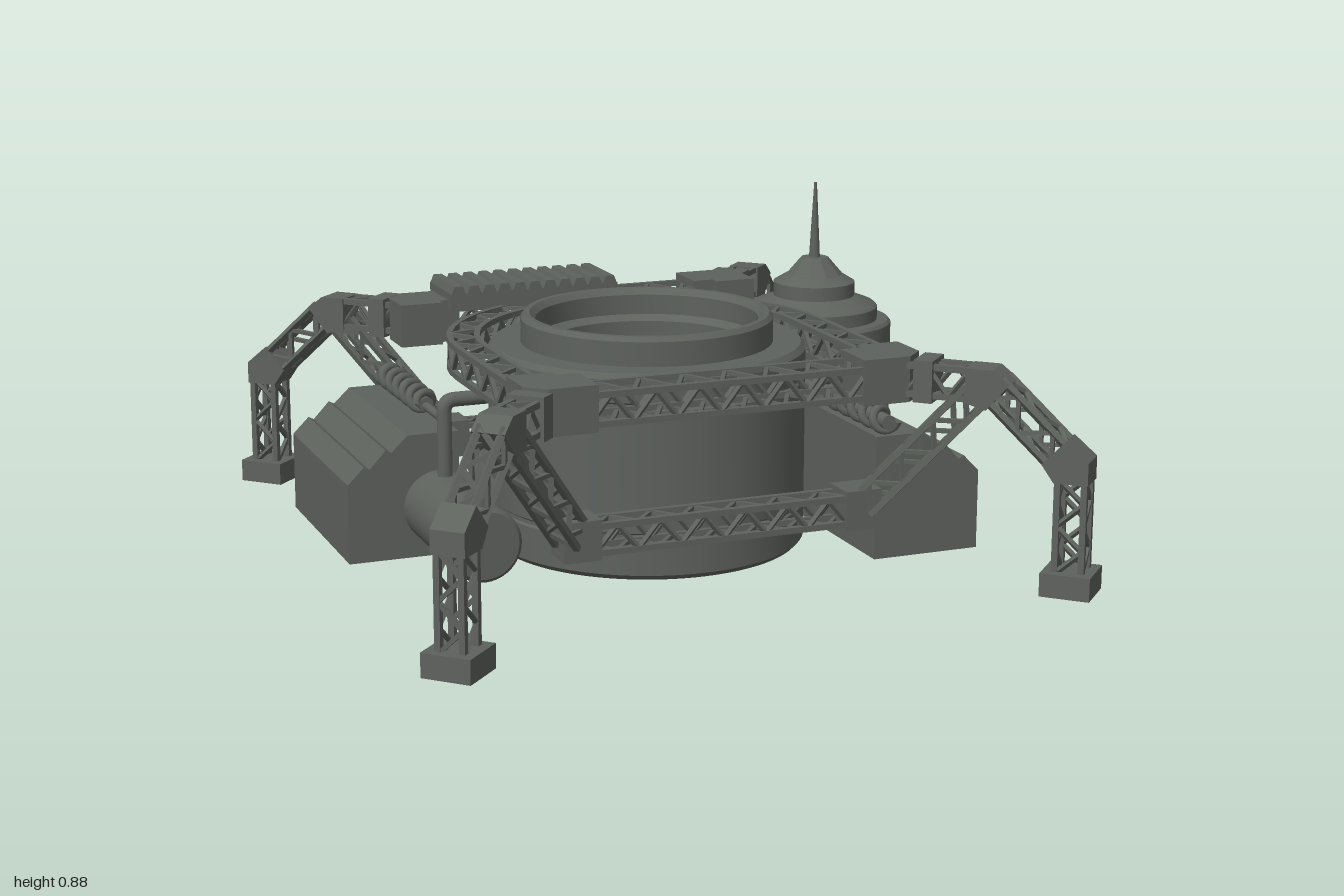
import * as THREE from 'three';
import { mergeGeometries, toCreasedNormals } from 'three/addons/utils/BufferGeometryUtils.js';

const V = (x, y, z) => new THREE.Vector3(x, y, z);
const UP = V(0, 1, 0);
const metal = new THREE.MeshStandardMaterial({ color: 0x5e625d });
metal.name = 'dark grey metal';

function add(parent, name, geo, x = 0, y = 0, z = 0) {
  const m = new THREE.Mesh(geo, metal);
  m.name = name;
  m.position.set(x, y, z);
  parent.add(m);
  return m;
}

const box = (w, h, d) => new THREE.BoxGeometry(w, h, d);

// Square bar between two points
function bar(a, b, t) {
  const d = b.clone().sub(a);
  const g = box(t, t, d.length());
  g.applyQuaternion(new THREE.Quaternion().setFromUnitVectors(V(0, 0, 1), d.normalize()));
  const c = a.clone().add(b).multiplyScalar(0.5);
  return g.translate(c.x, c.y, c.z);
}

// Lattice girder through a list of stations { p, side, up }
function lattice(stations, w, h, chord = 0.016, lace = 0.011) {
  const rings = stations.map(({ p, side, up }) => [[1, 1], [-1, 1], [-1, -1], [1, -1]].map(([s, u]) =>
    p.clone().addScaledVector(side, s * (w - chord) / 2).addScaledVector(up, u * (h - chord) / 2)));
  const bars = [];
  for (let i = 0; i + 1 < rings.length; i++) {
    for (let k = 0; k < 4; k++) {
      const n = (k + 1) % 4;
      bars.push(bar(rings[i][k], rings[i + 1][k], chord));
      const [from, to] = i % 2 ? [n, k] : [k, n];
      bars.push(bar(rings[i][from], rings[i + 1][to], lace));
    }
  }
  return mergeGeometries(bars);
}

// Straight girder
function girder(a, b, w, h, pitch = 0.06) {
  const dir = b.clone().sub(a);
  const n = Math.max(2, Math.round(dir.length() / pitch));
  dir.normalize();
  const side = Math.abs(dir.y) > 0.99 ? V(0, 0, 1) : dir.clone().cross(UP).normalize();
  const up = side.clone().cross(dir);
  const st = [];
  for (let i = 0; i <= n; i++) st.push({ p: a.clone().lerp(b, i / n), side, up });
  return lattice(st, w, h);
}

// Flat polygon extruded along z, centred
function plate(pts, depth) {
  const shape = new THREE.Shape(pts.map(([x, y]) => new THREE.Vector2(x, y)));
  return new THREE.ExtrudeGeometry(shape, { depth, bevelEnabled: false }).translate(0, 0, -depth / 2);
}

const lathe = (pts, seg = 64) =>
  toCreasedNormals(new THREE.LatheGeometry(pts.map(([x, y]) => new THREE.Vector2(x, y)), seg), 0.5);

// Pipe with rounded bends
function pipe(pts, r) {
  const path = new THREE.CurvePath();
  let last = pts[0];
  for (let i = 1; i < pts.length - 1; i++) {
    const p = pts[i];
    const a = p.clone().add(pts[i - 1].clone().sub(p).setLength(0.03));
    const b = p.clone().add(pts[i + 1].clone().sub(p).setLength(0.03));
    path.add(new THREE.LineCurve3(last, a));
    path.add(new THREE.QuadraticBezierCurve3(a, p, b));
    last = b;
  }
  path.add(new THREE.LineCurve3(last, pts[pts.length - 1]));
  return new THREE.TubeGeometry(path, 60, r, 12);
}

class Helix extends THREE.Curve {
  getPoint(t, target = V(0, 0, 0)) {
    const a = t * Math.PI * 2 * 6;
    return target.set(Math.cos(a) * 0.027, Math.sin(a) * 0.027, (t - 0.5) * 0.4);
  }
}

// Corner node, leg, foot and brace for one corner
function corner(root, sx, sz) {
  const g = new THREE.Group();
  g.name = 'cornerLeg';
  root.add(g);
  const outline = [[0.36, 0.63], [0.49, 0.63], [0.54, 0.58], [0.54, 0.46], [0.42, 0.46], [0.42, 0.49], [0.36, 0.49]];
  add(g, 'upperNode', plate(outline.map(([x, z]) => [x * sx, z * sz]), 0.12).rotateX(Math.PI / 2), 0, 0.53, 0);
  add(g, 'lowerNode', box(0.1, 0.105, 0.1), sx * 0.387, 0.182, sz * 0.54);
  add(g, 'brace', girder(V(sx * 0.63, 0.5, sz * 0.725), V(sx * 0.405, 0.19, sz * 0.555), 0.08, 0.08));

  // Local x points diagonally outwards
  const leg = new THREE.Group();
  leg.name = 'leg';
  leg.position.set(sx * 0.455, 0, sz * 0.55);
  leg.rotation.y = Math.atan2(-sz, sx);
  g.add(leg);
  add(leg, 'hipLink', girder(V(0.07, 0.53, 0), V(0.24, 0.53, 0), 0.08, 0.09));
  add(leg, 'linkSleeve', box(0.05, 0.11, 0.1), 0.12, 0.53, 0);
  add(leg, 'hipJoint', plate([[0.23, 0.485], [0.23, 0.575], [0.3, 0.575], [0.345, 0.54], [0.285, 0.47]], 0.09));
  add(leg, 'thigh', girder(V(0.3, 0.525, 0), V(0.48, 0.36, 0), 0.08, 0.085));
  add(leg, 'kneeJoint', plate([[0.435, 0.345], [0.495, 0.41], [0.555, 0.36], [0.555, 0.3], [0.467, 0.3]], 0.09));
  add(leg, 'shin', girder(V(0.51, 0.31, 0), V(0.51, 0.06, 0), 0.08, 0.085));
  add(leg, 'foot', box(0.13, 0.062, 0.13), 0.51, 0.036, 0);
}

// Sloped machinery cabinet with a coil on its inner edge
function cabinet(root, x, z, turn) {
  const g = new THREE.Group();
  g.name = 'cabinet';
  g.position.set(x, 0, z);
  g.rotation.y = turn;
  root.add(g);
  add(g, 'cabinetBody', plate([[0, 0.01], [0.305, 0.01], [0.305, 0.225], [0.26, 0.27], [0.245, 0.262],
    [0.2, 0.31], [0.185, 0.302], [0.14, 0.345], [0, 0.345]], 0.582));
  add(g, 'coil', new THREE.TubeGeometry(new Helix(), 200, 0.012, 8), 0.035, 0.382, 0.085);
  add(g, 'coilCore', new THREE.CylinderGeometry(0.02, 0.02, 0.41, 16).rotateX(Math.PI / 2), 0.035, 0.38, 0.085);
  add(g, 'cabinetPipe', pipe([V(0.035, 0.375, -0.1), V(0.035, 0.375, -0.302), V(0.035, 0.03, -0.302)], 0.012));
}

export function createModel() {
  const root = new THREE.Group();
  root.name = 'landingBase';

  // Central vessel with open, stepped mouth
  add(root, 'vessel', lathe([[0, 0.008], [0.415, 0.008], [0.428, 0.022], [0.428, 0.115], [0.422, 0.12], [0.422, 0.13],
    [0.428, 0.135], [0.428, 0.46], [0.422, 0.465], [0.422, 0.475], [0.428, 0.48], [0.428, 0.54], [0.415, 0.555],
    [0.34, 0.555], [0.34, 0.62], [0.33, 0.632], [0.315, 0.632], [0.3, 0.615], [0.3, 0.56], [0.275, 0.545],
    [0.275, 0.47], [0.26, 0.455], [0, 0.455]], 80), 0, 0, 0.04);

  // Front and back girders, upper and lower
  for (const s of [1, -1]) {
    add(root, 'upperGirder', girder(V(-0.38, 0.525, s * 0.56), V(0.38, 0.525, s * 0.56), 0.13, 0.09));
    add(root, 'lowerGirder', girder(V(-0.35, 0.18, s * 0.54), V(0.35, 0.18, s * 0.54), 0.085, 0.085));
    for (const x of [1, -1]) corner(root, x, s);
  }

  // U-shaped girder: straight sides joined by a half circle behind the vessel
  const st = [];
  const R = 0.485, z0 = 0.01;
  for (let i = 0; i < 7; i++) st.push({ p: V(R, 0.525, 0.47 - (0.46 * i) / 7), side: V(1, 0, 0), up: UP });
  for (let i = 0; i <= 26; i++) {
    const a = (Math.PI * i) / 26;
    const side = V(Math.cos(a), 0, -Math.sin(a));
    st.push({ p: V(R * side.x, 0.525, z0 + R * side.z), side, up: UP });
  }
  for (let i = 1; i <= 7; i++) st.push({ p: V(-R, 0.525, z0 + (0.46 * i) / 7), side: V(-1, 0, 0), up: UP });
  add(root, 'archGirder', lattice(st, 0.09, 0.09));

  // Ribbed radiator on the back girder
  add(root, 'radiatorBody', box(0.5, 0.05, 0.205), -0.145, 0.587, -0.555);
  for (let i = 0; i < 11; i++) {
    add(root, 'radiatorRib', plate([[-0.021, 0], [0.021, 0], [0.012, 0.022], [-0.012, 0.022]], 0.205),
      -0.145 + (i - 5) * 0.0455, 0.611, -0.555);
  }

  cabinet(root, 0.47, 0.2, 0);
  cabinet(root, -0.53, -0.267, Math.PI);

  // Upright storage tank with stepped cap and spire
  add(root, 'storageTank', lathe([[0, 0.006], [0.217, 0.006], [0.225, 0.014], [0.225, 0.37], [0.221, 0.374], [0.221, 0.382],
    [0.225, 0.386], [0.225, 0.478], [0.217, 0.487], [0.185, 0.487], [0.185, 0.523], [0.175, 0.533], [0.118, 0.555],
    [0.118, 0.595], [0.085, 0.615], [0, 0.615]]), 0.68, 0, -0.345);
  add(root, 'tankCap', toCreasedNormals(new THREE.CylinderGeometry(0.04, 0.085, 0.052, 10), 0.3), 0.68, 0.64, -0.345);
  add(root, 'spire', new THREE.CylinderGeometry(0.004, 0.016, 0.22, 12), 0.68, 0.775, -0.345);

  // Lying tank with feed pipes into the vessel
  add(root, 'lyingTank', lathe([[0, -0.203], [0.088, -0.203], [0.098, -0.193], [0.098, 0.193], [0.088, 0.203], [0, 0.203]], 40)
    .rotateX(Math.PI / 2), -0.59, 0.15, 0.232);
  add(root, 'frontFeedPipe', pipe([V(-0.59, 0.2, 0.4), V(-0.59, 0.45, 0.4), V(-0.37, 0.45, 0.4),
    V(-0.37, 0.45, 0.33), V(-0.29, 0.45, 0.33)], 0.02));
  add(root, 'rearFeedPipe', pipe([V(-0.59, 0.2, 0.095), V(-0.59, 0.45, 0.095), V(-0.4, 0.45, 0.095)], 0.02));

  return root;
}
